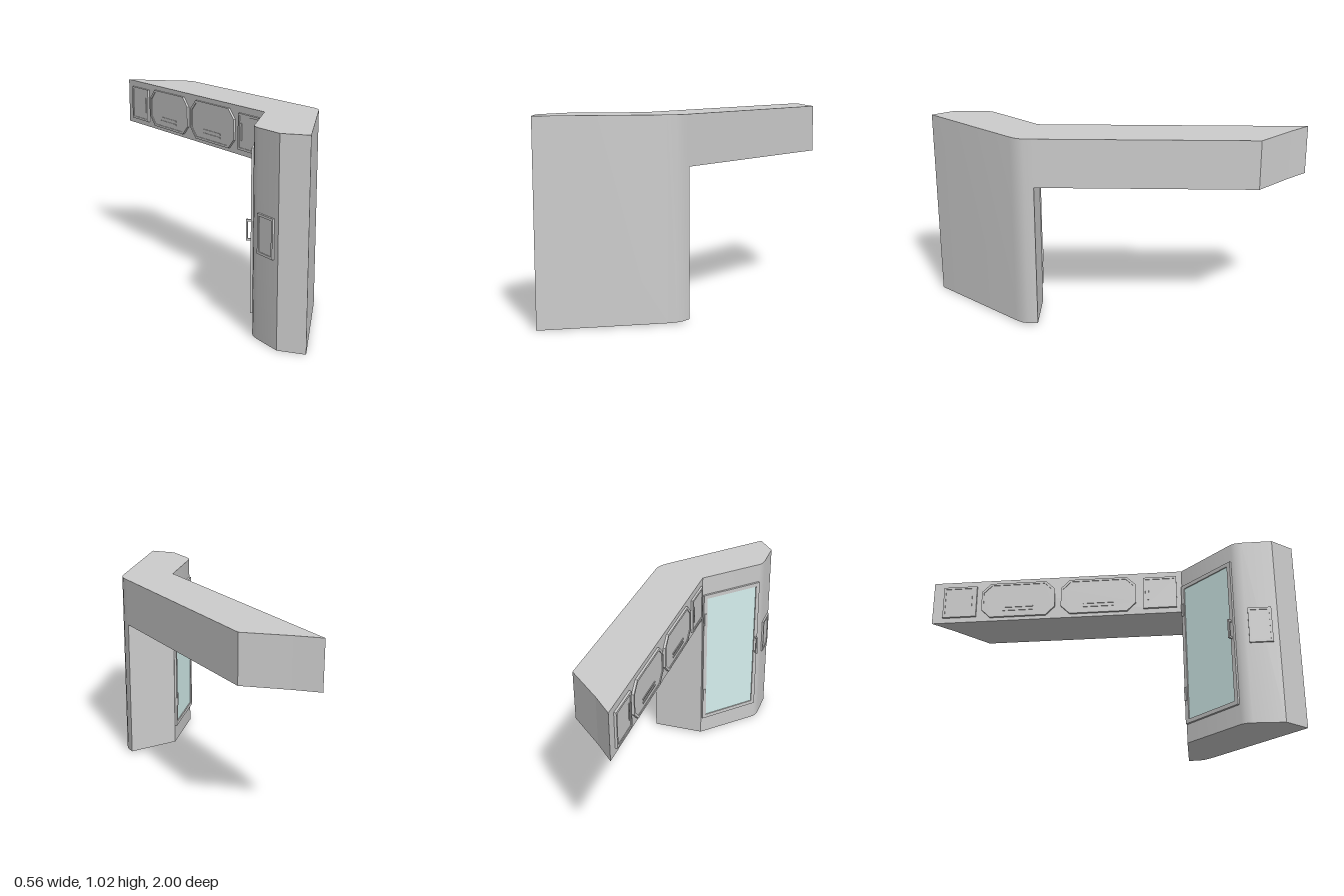
import * as THREE from 'three';
import { toCreasedNormals } from 'three/addons/utils/BufferGeometryUtils.js';

const grey = new THREE.MeshStandardMaterial({ color: 0xcccccc });
const glass = new THREE.MeshStandardMaterial({ color: 0xd5f0ee });

function mesh(name, geometry, material = grey) {
  const m = new THREE.Mesh(geometry, material);
  m.name = name;
  return m;
}

// Upright prism over a floor plan given as [x, z] points
function prism(plan, y0, y1) {
  const shape = new THREE.Shape(plan.map(([x, z]) => new THREE.Vector2(x, -z)));
  const g = new THREE.ExtrudeGeometry(shape, { depth: y1 - y0, bevelEnabled: false });
  return g.rotateX(-Math.PI / 2).translate(0, y0, 0);
}

// Rectangle with cut corners, centred on the origin
function plate(w, h, cut, Type = THREE.Shape) {
  const a = w / 2, b = h / 2, c = cut;
  const pts = c > 0
    ? [[-a + c, -b], [a - c, -b], [a, -b + c], [a, b - c], [a - c, b], [-a + c, b], [-a, b - c], [-a, -b + c]]
    : [[-a, -b], [a, -b], [a, b], [-a, b]];
  return new Type(pts.map(([x, y]) => new THREE.Vector2(x, y)));
}

// Raised panel, or a frame when a border width is given
function slab(w, h, depth, cut = 0, border = 0) {
  const s = plate(w, h, cut);
  if (border) s.holes.push(plate(w - 2 * border, h - 2 * border, cut * 0.9, THREE.Path));
  return new THREE.ExtrudeGeometry(s, { depth, bevelEnabled: false });
}

// Group whose local +z points out of a wall facing the given yaw
function onWall(name, x, y, z, yaw) {
  const g = new THREE.Group();
  g.name = name;
  g.position.set(x, y, z);
  g.rotation.y = yaw;
  return g;
}

function bar(name, w, h, d, x, y, z) {
  const m = mesh(name, new THREE.BoxGeometry(w, h, d));
  m.position.set(x, y, z);
  return m;
}

// Cupboard door: slim rim around a slightly lower panel
function cupboardDoor(name, z0, z1, y0, y1, cut, x = 0) {
  const w = z1 - z0, h = y1 - y0;
  const g = onWall(name, x, (y0 + y1) / 2, (z0 + z1) / 2, -Math.PI / 2);
  g.add(mesh('doorRim', slab(w, h, 0.012, cut, 0.012)));
  g.add(mesh('doorPanel', slab(w - 0.02, h - 0.02, 0.008, cut * 0.9)));
  return g;
}

export function createModel() {
  const model = new THREE.Group();
  model.name = 'cornerCabinWithOverheadLockers';

  // Tall cabin, its floor rising slightly towards the back
  const cabin = prism([
    [0, 0.405], [-0.255, 0.675], [-0.265, 0.695], [-0.27, 0.73], [-0.27, 0.89],
    [-0.182, 1], [0.245, 0.525], [0.27, 0.49], [0.282, 0.455], [0.282, 0.405],
  ].reverse(), 0, 1.025);
  const p = cabin.attributes.position;
  for (let i = 0; i < p.count; i++) {
    if (p.getY(i) < 0.01) p.setY(i, 0.016 * (1 - p.getZ(i)));
  }
  model.add(mesh('cabinBody', toCreasedNormals(cabin, 0.45)));

  // Overhead locker run with a slanted end
  model.add(mesh('overheadBody', prism([
    [0, 0.405], [0.282, 0.405], [0.282, -0.73], [0.1, -0.898], [0, -1],
  ], 0.77, 1.025)));

  // Square lockers at both ends, with upright pulls
  for (const [z0, z1, side] of [[-0.94, -0.75, 1], [0.19, 0.375, -1]]) {
    const door = cupboardDoor('smallLockerDoor', z0, z1, 0.8, 0.99, 0);
    door.add(bar('smallLockerPull', 0.008, 0.09, 0.005, side * 0.065, 0, 0.0095));
    model.add(door);
  }

  // Wide lockers with cut corners and a double finger pull
  for (const [z0, z1] of [[-0.72, -0.305], [-0.27, 0.15]]) {
    const door = cupboardDoor('wideLockerDoor', z0, z1, 0.79, 1, 0.05);
    for (const y of [-0.045, -0.065]) {
      door.add(bar('wideLockerPull', 0.17, 0.007, 0.005, 0, y, 0.0095));
    }
    model.add(door);
  }

  // Glazed door on the diagonal cabin wall
  const yaw = Math.atan2(-0.27, -0.255);
  const door = onWall('glazedDoor', -0.1275, 0.515, 0.54, yaw);
  door.add(mesh('doorFrame', slab(0.362, 0.81, 0.012, 0, 0.022)));
  door.add(mesh('doorGlass', slab(0.32, 0.768, 0.006), glass));
  for (const y of [-0.24, 0.255]) {
    door.add(bar('doorHinge', 0.014, 0.075, 0.012, -0.172, y, 0.012));
  }
  // Bracket handle: grip and two stand-offs
  const handle = new THREE.Group();
  handle.name = 'doorHandle';
  handle.position.set(0.168, 0.008, 0);
  handle.add(bar('handleGrip', 0.01, 0.105, 0.008, 0, 0, 0.032));
  for (const y of [-0.047, 0.047]) handle.add(bar('handleStandoff', 0.008, 0.01, 0.024, 0, y, 0.02));
  door.add(handle);
  model.add(door);

  // Small hatch on the side wall beside the door
  model.add(cupboardDoor('sideHatch', 0.74, 0.86, 0.435, 0.63, 0, -0.268));

  return model;
}
